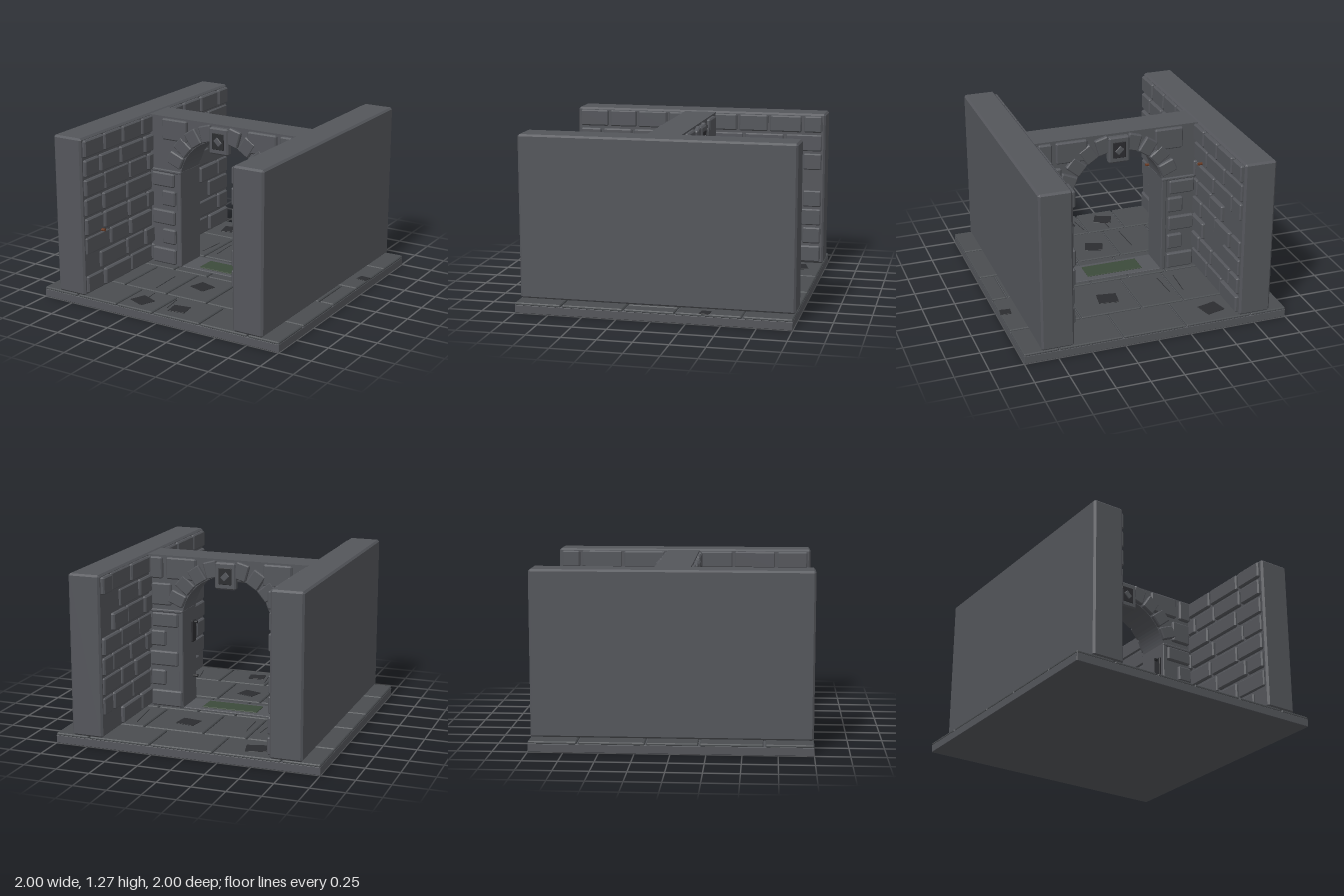
import * as THREE from 'three';
import { ConvexGeometry } from 'three/addons/geometries/ConvexGeometry.js';

const mat = (color) => new THREE.MeshStandardMaterial({ color, flatShading: true });
const stone = mat(0x54565b), paving = mat(0x4a4d50), dark = mat(0x2c2d30), rust = mat(0x6b3a22), moss = mat(0x3c4a3a);

// small seeded generator for brick variation
let seed = 7;
const rand = () => (seed = (seed * 16807) % 2147483647) / 2147483647;

// box with chamfered edges, given by its extents
function block(parent, name, x0, x1, y0, y1, z0, z1, c = 0.01, material = stone) {
  const h = [(x1 - x0) / 2, (y1 - y0) / 2, (z1 - z0) / 2], pts = [];
  c = Math.min(c, ...h.map((v) => v * 0.6));
  for (const sx of [-1, 1]) for (const sy of [-1, 1]) for (const sz of [-1, 1])
    for (let k = 0; k < 3; k++) {
      const d = h.map((v, i) => (i === k ? v : v - c));
      pts.push(new THREE.Vector3(sx * d[0], sy * d[1], sz * d[2]));
    }
  const m = new THREE.Mesh(new ConvexGeometry(pts), material);
  m.name = name;
  m.position.set((x0 + x1) / 2, (y0 + y1) / 2, (z0 + z1) / 2);
  parent.add(m);
  return m;
}

function group(parent, name) {
  const g = new THREE.Group();
  g.name = name;
  parent.add(g);
  return g;
}

function buildFloor(root) {
  const floor = group(root, 'floor');
  block(floor, 'baseSlab', -1, 1, 0, 0.06, -1, 1, 0.003);
  const zs = [-1, -0.65, -0.172, 0.2, 0.655, 1];
  const joints = [
    [-1, -0.72, -0.215, 0.265, 0.74, 1],
    [-1, -0.74, -0.34, -0.007, 0.462, 0.76, 1],
    [-1, -0.75, -0.38, -0.08, 0.22, 0.55, 0.885, 1],
    [-1, -0.8, -0.52, -0.15, 0.2, 0.7, 1],
    [-1, -0.7, -0.35, -0.035, 0.36, 0.75, 1],
  ];
  const gap = (v) => (Math.abs(v) === 1 ? 0 : 0.006);
  joints.forEach((xs, r) => {
    for (let i = 0; i < xs.length - 1; i++)
      block(floor, 'pavingStone', xs[i] + gap(xs[i]), xs[i + 1] - gap(xs[i + 1]),
        0.055, 0.077, zs[r] + gap(zs[r]), zs[r + 1] - gap(zs[r + 1]), 0.007, paving);
  });
  // loose flat chips: x, z, size, turn
  for (const [x, z, s, a] of [[0.19, -0.44, 0.15, -0.15], [-0.22, 0.85, 0.14, -0.4], [0.1, 0.855, 0.13, 0.15],
    [0.01, 0.4, 0.14, -0.3], [-0.48, -0.83, 0.15, 0.25], [0.96, -0.38, 0.08, -0.1]]) {
    const m = block(floor, 'stoneChip', x - s / 2, x + s / 2, 0.075, 0.081, z - s * 0.45, z + s * 0.45, 0.002, dark);
    m.rotation.y = a;
  }
  // hairline cracks: x, z, length, turn
  for (const [x, z, l, a] of [[-0.4, -0.38, 0.24, -0.06], [-0.28, -0.38, 0.24, 0.05], [0.57, -0.41, 0.32, 0.1],
    [-0.28, 0.46, 0.28, 0.04], [-0.22, 0.74, 0.1, 0.1], [0, 0.8, 0.17, 0.15], [0.57, 0.8, 0.17, 0.2]]) {
    const m = block(floor, 'crack', x - 0.003, x + 0.003, 0.075, 0.079, z - l / 2, z + l / 2, 0.001, dark);
    m.rotation.y = a;
  }
  block(floor, 'threshold', -0.36, 0.36, 0.07, 0.084, -0.13, 0.12, 0.004);
  block(floor, 'mossPatch', -0.22, 0.22, 0.08, 0.09, -0.08, 0.08, 0.004, moss);
}

function buildSideWall(root, side) {
  const wall = group(root, side > 0 ? 'leftWall' : 'rightWall');
  const span = (a, b) => (side > 0 ? [a, b] : [-b, -a]);
  block(wall, 'wallCore', ...span(0.63, 0.87), 0.075, 1.27, -1, 1, 0.014);
  // staggered bricks on the inner face
  const rows = 8, rowH = 1.18 / rows;
  for (let r = 0; r < rows; r++) {
    const y = 0.085 + r * rowH;
    let z = -0.985;
    let len = r % 2 ? 0.16 : 0.3;
    while (z < 0.95) {
      let end = Math.min(z + len, 0.985);
      if (0.985 - end < 0.1) end = 0.985;
      if (rand() > 0.06)
        block(wall, 'wallBrick', ...span(0.601 + rand() * 0.014, 0.64),
          y + 0.008, y + rowH - 0.012, z + 0.009, end - 0.009, 0.01);
      z = end;
      len = 0.23 + rand() * 0.12;
    }
  }
}

function buildArchWall(root) {
  const arch = group(root, 'archWall');
  const zBack = -0.13, zFront = 0.12, cy = 0.77, R = 0.36;

  // wall with the round-headed doorway cut out
  const s = new THREE.Shape();
  s.moveTo(-0.635, 0.07);
  s.lineTo(-R, 0.07);
  s.lineTo(-R, cy);
  s.absarc(0, cy, R, Math.PI, 0, true);
  s.lineTo(R, 0.07);
  s.lineTo(0.635, 0.07);
  s.lineTo(0.635, 1.262);
  s.lineTo(-0.635, 1.262);
  const geo = new THREE.ExtrudeGeometry(s, { depth: zFront - zBack, bevelEnabled: false, curveSegments: 24 });
  const core = new THREE.Mesh(geo, stone);
  core.name = 'archWallCore';
  core.position.z = zBack;
  arch.add(core);

  // jamb linings and imposts
  for (const sx of [-1, 1]) {
    const span = (a, b) => (sx > 0 ? [a, b] : [-b, -a]);
    block(arch, 'jamb', ...span(0.352, 0.39), 0.075, 0.84, zBack - 0.012, zFront + 0.012, 0.006);
    block(arch, 'impost', ...span(0.352, 0.62), 0.822, 0.845, zBack - 0.015, zFront + 0.015, 0.006);
  }

  // facing stones, the same on both faces: x0, x1, y0, y1
  const facing = [
    [-0.61, -0.4, 0.085, 0.21], [-0.52, -0.4, 0.25, 0.37], [-0.61, -0.405, 0.405, 0.52],
    [-0.52, -0.4, 0.56, 0.68], [-0.61, -0.41, 0.71, 0.82], [-0.51, -0.29, 1.085, 1.25],
    [0.36, 0.61, 0.085, 0.21], [0.49, 0.61, 0.25, 0.37], [0.39, 0.62, 0.405, 0.52],
    [0.49, 0.61, 0.56, 0.68], [0.39, 0.6, 0.71, 0.82], [0.24, 0.48, 1.085, 1.25],
    [0.51, 0.61, 1.085, 1.25], [0.44, 0.6, 0.88, 1.05],
  ];
  for (const face of [1, -1]) {
    const dress = group(arch, face > 0 ? 'frontFacing' : 'backFacing');
    const zSpan = (a, b) => (face > 0 ? [zFront + a, zFront + b] : [zBack - b, zBack - a]);
    for (const f of facing) block(dress, 'facingStone', ...f, ...zSpan(-0.01, 0.026), 0.01);

    // ring of arch stones
    for (const sx of [-1, 1]) for (const deg of [23, 40, 57, 74]) {
      const a = THREE.MathUtils.degToRad(deg), w = deg === 23 ? 0.05 : 0.052;
      const v = block(dress, 'archStone', -w, w, -0.064, 0.064, ...zSpan(-0.01, 0.03), 0.008);
      v.position.x = sx * Math.cos(a) * 0.427;
      v.position.y = cy + Math.sin(a) * 0.427;
      v.rotation.z = sx * (a - Math.PI / 2);
    }

    // keystone with a sunken-looking panel and diamond boss
    block(dress, 'keystone', -0.082, 0.082, 1.04, 1.245, ...zSpan(-0.02, 0.04), 0.012);
    block(dress, 'keystonePanel', -0.05, 0.05, 1.08, 1.205, ...zSpan(0.03, 0.044), 0.003, dark);
    const boss = block(dress, 'diamondBoss', -0.03, 0.03, 1.118, 1.162, ...zSpan(0.03, 0.05), 0.004);
    boss.rotation.z = -Math.PI / 4;
  }

  // dark patch, latch plate and hinge pins on the left jamb
  block(arch, 'darkPatch', 0.44, 0.52, 0.31, 0.56, zFront - 0.01, zFront + 0.008, 0.003, dark);
  block(arch, 'latchPlate', 0.338, 0.356, 0.56, 0.73, 0.03, 0.1, 0.004, dark);
  for (const y of [0.715, 0.285]) {
    const pin = new THREE.Mesh(new THREE.CylinderGeometry(0.012, 0.012, 0.04, 8), dark);
    pin.name = 'hingePin';
    pin.rotation.z = Math.PI / 2;
    pin.position.set(0.335, y, 0.07);
    arch.add(pin);
  }
}

export function createModel() {
  const root = new THREE.Group();
  root.name = 'archedCorridor';
  buildFloor(root);
  buildSideWall(root, 1);
  buildSideWall(root, -1);
  buildArchWall(root);

  // rusty pegs in the right wall
  for (const [y, z] of [[0.99, -0.28], [0.54, 0.8]]) {
    const peg = new THREE.Mesh(new THREE.CylinderGeometry(0.011, 0.011, 0.04, 8), rust);
    peg.name = 'wallPeg';
    peg.rotation.z = Math.PI / 2;
    peg.position.set(-0.6, y, z);
    root.add(peg);
  }
  return root;
}
